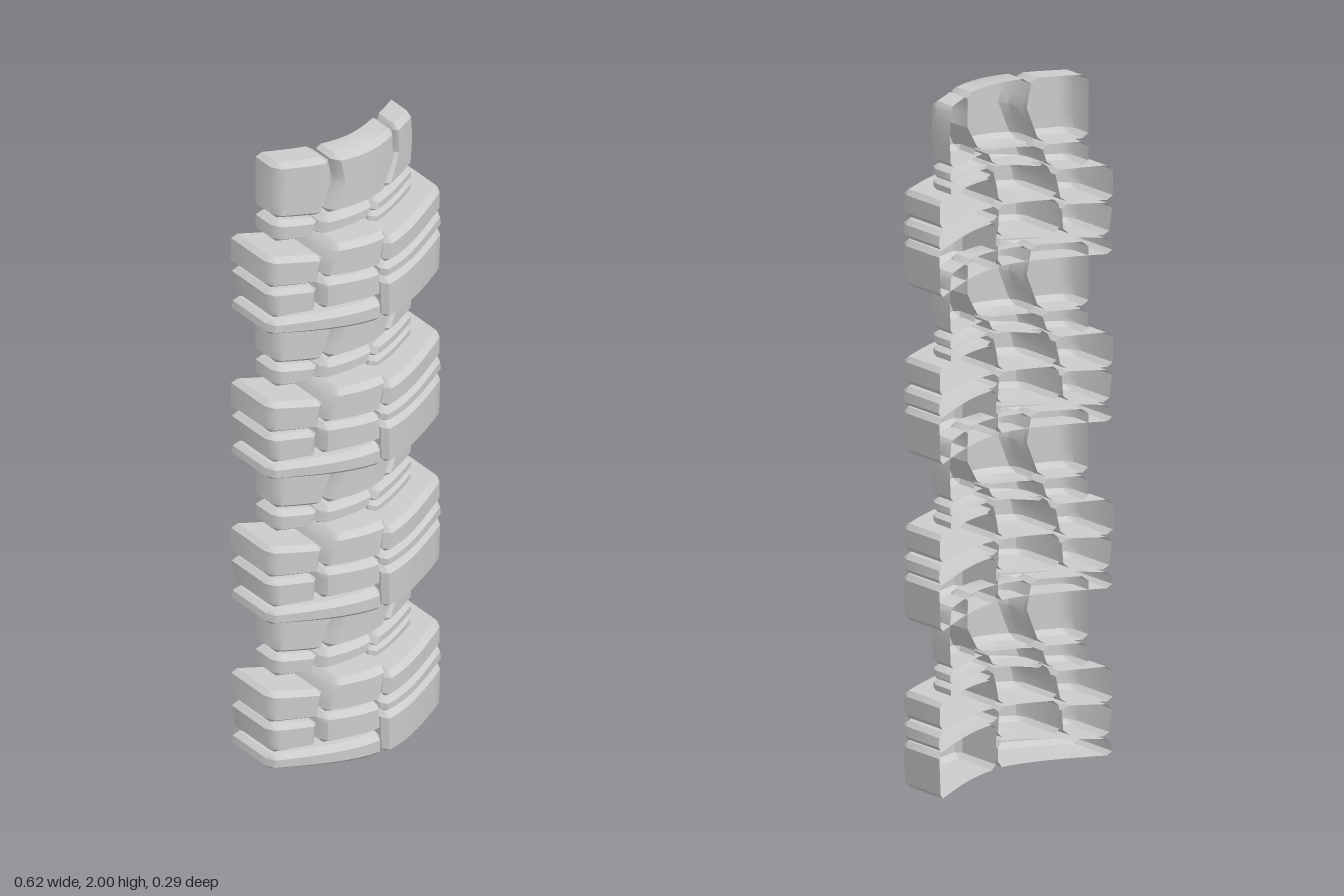
import * as THREE from 'three';
import { toCreasedNormals } from 'three/addons/utils/BufferGeometryUtils.js';

const material = new THREE.MeshStandardMaterial({ color: 0xcccccc, side: THREE.DoubleSide });

// Plan curve followed by the open back edges of all stones
const backZ = (x) => -0.022 - 0.64 * (Math.hypot(x, 0.15) - 0.15);

// Point at fraction t along a short polyline
function along(points, t) {
  const s = t * (points.length - 1);
  const i = Math.min(Math.floor(s), points.length - 2);
  const f = s - i;
  return points[i].map((a, k) => a + (points[i + 1][k] - a) * f);
}

// Steps across a stone: side wall, chamfer, face, chamfer, side wall
function steps(count, inset, depth) {
  const list = [[0, 0], [0, depth - 0.02]];
  for (let i = 0; i <= count; i++) list.push([inset + (1 - 2 * inset) * i / count, depth]);
  list.push([1, depth - 0.02], [1, 0]);
  return list;
}

// Hollow stone, open at the back, between a left and a right edge (bottom to top)
function stoneGeometry(left, right, depth) {
  const width = right[0][0] - left[0][0];
  const height = left[left.length - 1][1] - left[0][1];
  const iu = Math.min(0.2, 0.014 / width);
  const iv = Math.min(0.25, 0.014 / height);
  const cols = steps(8, iu, depth);
  const rows = steps(4, iv, depth);
  const position = [];
  const index = [];
  rows.forEach(([v, hv]) => cols.forEach(([u, hu]) => {
    // cut the outline corners
    const cu = v === 0 || v === 1 ? THREE.MathUtils.clamp(u, iu, 1 - iu) : u;
    const a = along(left, v);
    const b = along(right, v);
    const x = a[0] + (b[0] - a[0]) * cu;
    const y = a[1] + (b[1] - a[1]) * cu;
    position.push(x, y, backZ(x) + Math.min(hu, hv));
  }));
  const n = cols.length;
  const point = (i) => new THREE.Vector3().fromArray(position, i * 3);
  const addFace = (a, b, c) => {
    const area = point(b).sub(point(a)).cross(point(c).sub(point(a))).length();
    if (area > 1e-9) index.push(a, b, c);
  };
  for (let j = 0; j < rows.length - 1; j++) {
    for (let i = 0; i < n - 1; i++) {
      const p = j * n + i;
      addFace(p, p + 1, p + n + 1);
      addFace(p, p + n + 1, p + n);
    }
  }
  const geometry = new THREE.BufferGeometry();
  geometry.setAttribute('position', new THREE.Float32BufferAttribute(position, 3));
  geometry.setIndex(index);
  return toCreasedNormals(geometry, 0.6);
}

// Projecting courses: [name, left edge, right edge]
const wideStones = [
  ['leftUpperStone', [[-0.31, 0.168], [-0.31, 0.27]], [[-0.182, 0.17], [-0.165, 0.262]]],
  ['leftLowerStone', [[-0.3, 0.065], [-0.31, 0.16]], [[-0.188, 0.078], [-0.182, 0.162]]],
  ['leftBaseStone', [[-0.31, 0.012], [-0.305, 0.058]], [[0, 0.002], [0, 0.08]]],
  ['middleLowerStone', [[-0.178, 0.082], [-0.175, 0.178]], [[0, 0.09], [-0.005, 0.178]]],
  ['middleUpperStone', [[-0.172, 0.185], [-0.165, 0.23], [-0.14, 0.29]], [[-0.005, 0.185], [0.005, 0.24], [0.02, 0.295]]],
  ['rightUpperStone', [[0.005, 0.185], [0.018, 0.262]], [[0.298, 0.192], [0.3, 0.272]]],
  ['rightMiddleStone', [[0, 0.14], [0.002, 0.178]], [[0.31, 0.133], [0.3, 0.185]]],
  ['rightBaseStone', [[0.007, 0], [0.005, 0.132]], [[0.295, -0.01], [0.308, 0.07], [0.305, 0.126]].filter((p, i) => i !== 1)],
];

// Recessed courses
const narrowStones = [
  ['leftTallStone', [[-0.25, 0.352], [-0.25, 0.535]], [[-0.125, 0.345], [-0.09, 0.45], [-0.105, 0.535]]],
  ['middleTallStone', [[-0.115, 0.345], [-0.08, 0.45], [-0.097, 0.535]], [[0.075, 0.355], [0.135, 0.44], [0.13, 0.535]]],
  ['rightTallStone', [[0.085, 0.35], [0.142, 0.44], [0.138, 0.53]], [[0.23, 0.347], [0.238, 0.44], [0.228, 0.525]]],
  ['leftLowStone', [[-0.25, 0.272], [-0.25, 0.342]], [[-0.148, 0.275], [-0.13, 0.338]]],
  ['middleLowStone', [[-0.14, 0.275], [-0.122, 0.336]], [[0.015, 0.3], [0.04, 0.346]]],
  ['rightLowStone', [[0.025, 0.302], [0.048, 0.342]], [[0.235, 0.305], [0.23, 0.34]]],
  ['rightThinStone', [[0.025, 0.268], [0.03, 0.296]], [[0.23, 0.265], [0.232, 0.298]]],
];

export function createModel() {
  const model = new THREE.Group();
  model.name = 'stoneQuoin';
  const parts = [];
  for (const [stones, depth] of [[wideStones, 0.169], [narrowStones, 0.087]]) {
    for (const [name, left, right] of stones) parts.push([name, stoneGeometry(left, right, depth)]);
  }
  // Four identical blocks stacked
  for (let i = 0; i < 4; i++) {
    const block = new THREE.Group();
    block.name = 'stoneBlock' + (i + 1);
    block.position.y = 0.01 + i * 0.485;
    for (const [name, geometry] of parts) {
      const mesh = new THREE.Mesh(geometry, material);
      mesh.name = name;
      block.add(mesh);
    }
    model.add(block);
  }
  return model;
}
